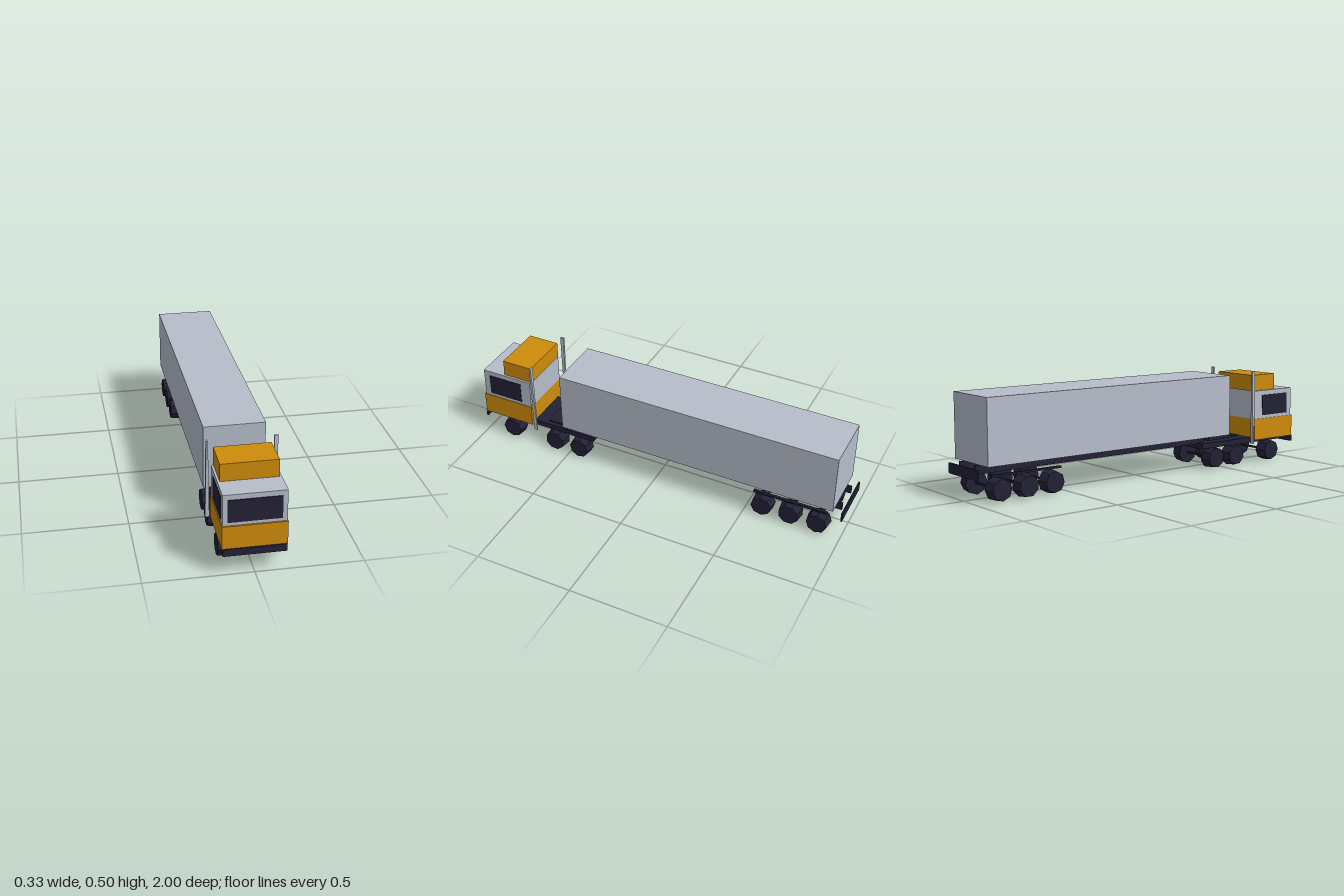
import * as THREE from 'three';
import { ConvexGeometry } from 'three/addons/geometries/ConvexGeometry.js';

const mat = (name, color) => {
  const m = new THREE.MeshStandardMaterial({ color, flatShading: true });
  m.name = name;
  return m;
};

export function createModel() {
  const truck = new THREE.Group();
  truck.name = 'truck';
  const grey = mat('grey panel', 0xb6becb);
  const orange = mat('orange paint', 0xcf8b0c);
  const dark = mat('dark metal and rubber', 0x232136);

  const add = (name, geometry, material, parent = truck) => {
    const mesh = new THREE.Mesh(geometry, material);
    mesh.name = name;
    parent.add(mesh);
    return mesh;
  };
  // Box given by its extents along x, y and z
  const box = (name, material, x0, x1, y0, y1, z0, z1, parent) => {
    const g = new THREE.BoxGeometry(x1 - x0, y1 - y0, z1 - z0);
    g.translate((x0 + x1) / 2, (y0 + y1) / 2, (z0 + z1) / 2);
    return add(name, g, material, parent);
  };

  // Trailer: container, long rails, rear bumper
  const trailer = new THREE.Group();
  trailer.name = 'trailer';
  truck.add(trailer);
  box('container', grey, -0.147, 0.147, 0.172, 0.487, -0.955, 0.523, trailer);
  box('rearBumper', dark, -0.13, 0.13, 0.11, 0.16, -1, -0.992, trailer);
  for (const s of [-1, 1]) {
    const x = s * 0.067;
    box('trailerRail', dark, x - 0.005, x + 0.005, 0.13, 0.172, -0.978, 0.41, trailer);
    box('bogieBar', dark, s * 0.115 - 0.007, s * 0.115 + 0.007, 0.118, 0.128, -0.92, -0.54, trailer);
  }

  // Tractor: chassis, coupling plate, bumper
  box('chassis', dark, -0.115, 0.115, 0.108, 0.136, 0.36, 0.985);
  const plate = [];
  for (const x of [-0.11, 0.11]) {
    plate.push(new THREE.Vector3(x, 0.153, 0.63), new THREE.Vector3(x, 0.158, 0.63));
    plate.push(new THREE.Vector3(x, 0.146, 0.41), new THREE.Vector3(x, 0.168, 0.41));
  }
  add('couplingPlate', new ConvexGeometry(plate), dark);
  box('frontBumper', dark, -0.144, 0.144, 0.092, 0.127, 0.99, 1);

  // Cab
  const cab = new THREE.Group();
  cab.name = 'cab';
  truck.add(cab);
  box('cabLower', orange, -0.147, 0.147, 0.124, 0.238, 0.708, 0.994, cab);
  box('cabUpper', grey, -0.144, 0.144, 0.238, 0.39, 0.708, 0.986, cab);
  box('roofFairing', orange, -0.133, 0.133, 0.39, 0.475, 0.7, 0.865, cab);
  box('windscreen', dark, -0.122, 0.122, 0.255, 0.365, 0.985, 0.99, cab);
  for (const s of [-1, 1]) {
    box('sideWindow', dark, s * 0.1445 - 0.002, s * 0.1445 + 0.002, 0.255, 0.365, 0.765, 0.953, cab);
  }

  // Exhaust stacks: thin blades that twist from one axis to the other
  const stack = (s, topHalfX, bottomHalfX) => {
    const points = [];
    for (const [y, hx, x] of [[0.11, bottomHalfX, 0.157], [0.5, topHalfX, 0.158]]) {
      const hz = hx > 0.006 ? 0.004 : 0.01;
      for (const a of [-1, 1]) {
        for (const b of [-1, 1]) points.push(new THREE.Vector3(s * x + a * hx, y, 0.682 + b * hz));
      }
    }
    add('exhaustStack', new ConvexGeometry(points), grey);
  };
  stack(-1, 0.004, 0.01);
  stack(1, 0.01, 0.002);

  // Wheels: coarse, slightly tapered drums
  const wheelGeo = new THREE.CylinderGeometry(0.052, 0.059, 0.06, 8);
  wheelGeo.rotateZ(-Math.PI / 2);
  [0.84, 0.58, 0.435, -0.59, -0.735, -0.88].forEach((z, i) => {
    for (const s of [-1, 1]) {
      const wheel = add('wheel', wheelGeo, dark);
      wheel.position.set(s * 0.115, 0.058, z);
      wheel.rotation.set(i * 0.3, s > 0 ? 0 : Math.PI, 0);
    }
    box('axle', dark, -0.09, 0.09, 0.052, 0.062, z - 0.005, z + 0.005);
  });

  return truck;
}
